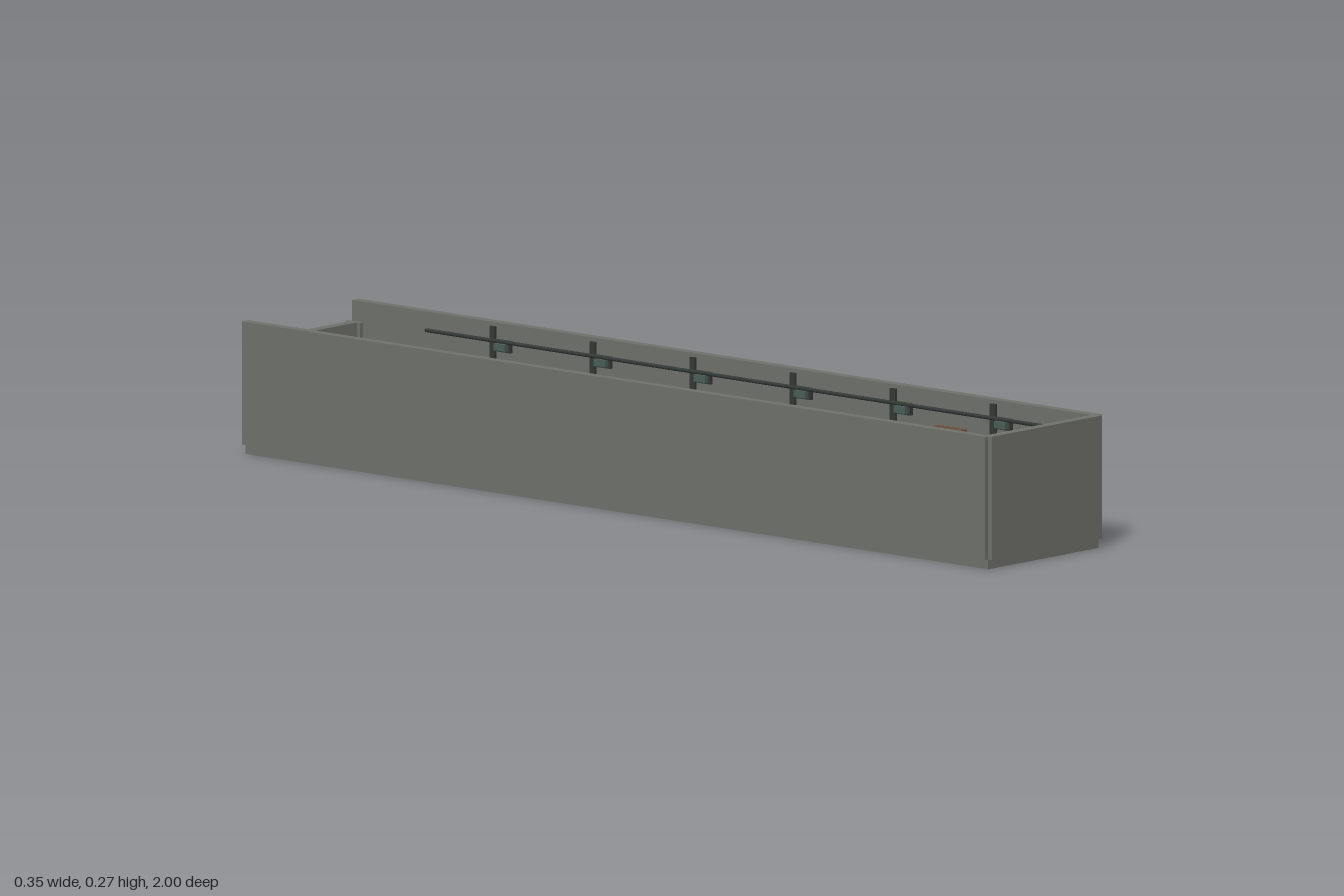
import * as THREE from 'three';

const mat = (name, color) => {
  const m = new THREE.MeshStandardMaterial({ color });
  m.name = name;
  return m;
};

export function createModel() {
  const root = new THREE.Group();
  root.name = 'corridor';
  const concrete = mat('concrete', 0x70726c);
  const green = mat('green paint', 0x46534d);
  const steel = mat('dark steel', 0x343a37);
  const teal = mat('teal metal', 0x4b5f58);
  const wood = mat('crate wood', 0x6d503a);
  const woodDark = mat('crate frame wood', 0x5a4230);
  const seam = mat('floor seam', 0x5a5c57);

  // box given by its lower and upper corners
  const box = (name, m, x0, x1, y0, y1, z0, z1, parent = root) => {
    const mesh = new THREE.Mesh(new THREE.BoxGeometry(x1 - x0, y1 - y0, z1 - z0), m);
    mesh.position.set((x0 + x1) / 2, (y0 + y1) / 2, (z0 + z1) / 2);
    mesh.name = name;
    parent.add(mesh);
    return mesh;
  };
  const group = (name) => {
    const g = new THREE.Group();
    g.name = name;
    root.add(g);
    return g;
  };
  // box against a side wall, from depth d0 to d1 off its inner face
  const onWall = (name, m, side, d0, d1, y0, y1, z0, z1, parent) => {
    const a = side * (0.155 - d0), b = side * (0.155 - d1);
    return box(name, m, Math.min(a, b), Math.max(a, b), y0, y1, z0, z1, parent);
  };

  // shell
  box('floor', concrete, -0.165, 0.165, 0, 0.02, -1, 0.99);
  box('endWall', concrete, -0.165, 0.165, 0.02, 0.27, 0.98, 1);
  for (const s of [-1, 1]) {
    onWall('sideWall', concrete, s, -0.02, 0, 0.02, 0.27, -1, 0.99);
    onWall('wallPaint', green, s, 0, 0.002, 0.02, 0.13, -1, 0.98);
  }
  box('endWallPaint', green, -0.153, 0.153, 0.02, 0.13, 0.978, 0.98);
  for (const z of [-0.675, 0.32]) box('floorSeam', seam, -0.153, 0.153, 0.02, 0.0206, z - 0.002, z + 0.002);

  // partition with its end post
  box('partition', concrete, -0.155, -0.02, 0.02, 0.268, -0.85, -0.828);
  box('partitionPost', concrete, -0.023, -0.013, 0.02, 0.268, -0.858, -0.82);
  box('partitionPaint', green, -0.153, -0.023, 0.02, 0.13, -0.828, -0.826);

  // ribs and wall lamps
  for (const s of [-1, 1]) {
    for (let i = 0; i < 6; i++) {
      const z = -0.62 + i * 0.268;
      onWall('wallRib', steel, s, 0, 0.006, 0.02, 0.262, z - 0.007, z + 0.007);
      const lamp = group('wallLamp');
      onWall('lampBase', steel, s, 0, 0.008, 0.213, 0.237, z + 0.01, z + 0.05, lamp);
      onWall('lampCover', teal, s, 0.008, 0.018, 0.217, 0.231, z + 0.015, z + 0.045, lamp);
    }
  }

  // cable tray on the right wall: rails, rungs and a drop conduit
  const tray = group('cableTray');
  for (const y of [0.196, 0.216]) onWall('trayRail', steel, -1, 0.004, 0.012, y - 0.003, y + 0.003, -0.8, 0.97, tray);
  for (let z = -0.79; z < 0.97; z += 0.03) onWall('trayRung', steel, -1, 0.004, 0.016, 0.194, 0.199, z, z + 0.005, tray);
  onWall('dropConduit', steel, -1, 0, 0.008, 0.02, 0.2, -0.684, -0.676, tray);

  // pipe on the left wall
  const pipe = new THREE.Mesh(new THREE.CylinderGeometry(0.004, 0.004, 1.77, 10), steel);
  pipe.rotation.x = Math.PI / 2;
  pipe.position.set(0.147, 0.234, 0.09);
  pipe.name = 'wallPipe';
  root.add(pipe);

  // switch box
  onWall('switchBox', teal, 1, 0, 0.014, 0.115, 0.17, -0.352, -0.325);
  onWall('switchLever', steel, 1, 0.014, 0.018, 0.135, 0.155, -0.342, -0.335);

  // drain slots in the floor
  const drain = group('drain');
  for (let z = -0.8; z < 0.95; z += 0.05) box('drainSlot', steel, 0.132, 0.138, 0.02, 0.0208, z, z + 0.03, drain);

  // door in the end wall
  const door = group('door');
  box('doorPanel', teal, -0.045, 0.045, 0.02, 0.205, 0.972, 0.98, door);
  for (const s of [-1, 1]) box('doorJamb', green, s * 0.05 - 0.006, s * 0.05 + 0.006, 0.02, 0.218, 0.963, 0.98, door);
  box('doorLintel', green, -0.056, 0.056, 0.205, 0.218, 0.963, 0.98, door);
  box('doorHandle', steel, -0.036, -0.028, 0.1, 0.12, 0.966, 0.972, door);
  box('doorLamp', teal, -0.02, 0.02, 0.234, 0.249, 0.962, 0.98, door);

  // cabinet with vents
  const cabinet = group('cabinet');
  box('cabinetBody', teal, 0.087, 0.14, 0.02, 0.17, 0.375, 0.43, cabinet);
  for (const y of [0.138, 0.146, 0.154]) {
    box('cabinetVent', steel, 0.1, 0.127, y, y + 0.003, 0.374, 0.375, cabinet);
    box('cabinetVent', steel, 0.086, 0.087, y, y + 0.003, 0.388, 0.417, cabinet);
  }
  box('cabinetHandle', steel, 0.083, 0.087, 0.085, 0.105, 0.382, 0.387, cabinet);

  // low concrete block
  box('block', concrete, -0.135, -0.045, 0.02, 0.1, 0.165, 0.215);

  // slatted crate with corner posts and rails
  const crate = (cx, y0, cz, w = 0.076, h = 0.09) => {
    const g = group('crate'), r = w / 2, t = 0.009;
    g.position.set(cx, y0, cz);
    box('crateBody', woodDark, -r + 0.004, r - 0.004, 0, h - 0.003, -r + 0.004, r - 0.004, g);
    for (const x of [-r, r - t]) for (const z of [-r, r - t]) box('cratePost', wood, x, x + t, 0, h, z, z + t, g);
    for (const y of [0, h - t]) {
      for (const p of [-r, r - t]) {
        box('crateRail', wood, -r + t, r - t, y, y + t, p, p + t, g);
        box('crateRail', wood, p, p + t, y, y + t, -r + t, r - t, g);
      }
    }
    for (let i = 0; i < 4; i++) {
      const a = -r + t + 0.002 + i * 0.0145, b = a + 0.0115;
      box('crateLidPlank', wood, a, b, h - 0.004, h - 0.001, -r + t, r - t, g);
      box('cratePlank', wood, a, b, t, h - t, -r + 0.002, r - 0.002, g);
      box('cratePlank', wood, -r + 0.002, r - 0.002, t, h - t, a, b, g);
    }
  };
  crate(-0.095, 0.02, 0.44, 0.076, 0.08);
  crate(-0.093, 0.02, 0.806, 0.07, 0.08);
  crate(0.092, 0.02, 0.628);
  crate(0.094, 0.11, 0.63, 0.076, 0.097);

  return root;
}
